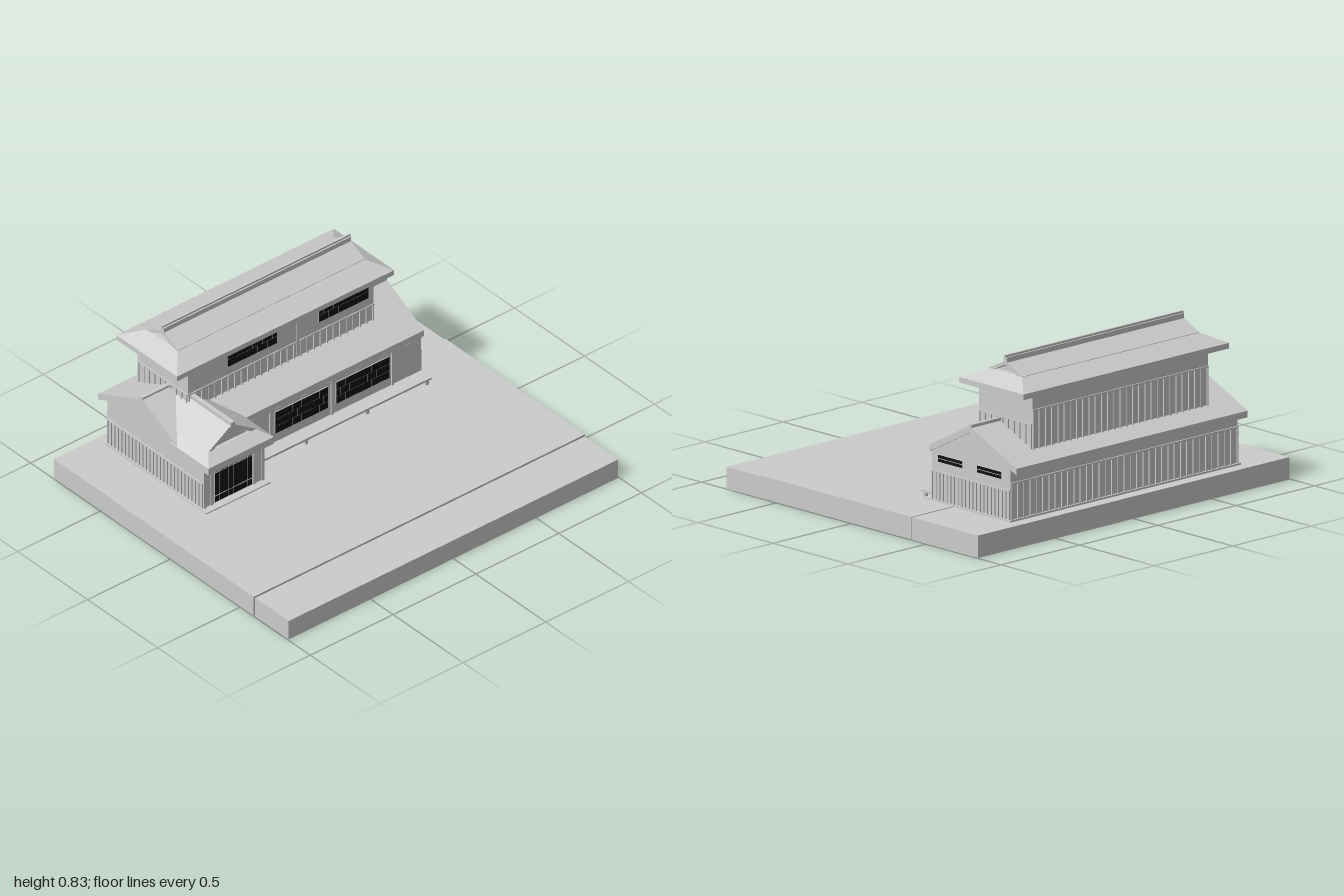
import * as THREE from 'three';
import { ConvexGeometry } from 'three/addons/geometries/ConvexGeometry.js';

export function createModel() {
  const house = new THREE.Group();
  house.name = 'house';
  const grey = new THREE.MeshStandardMaterial({ color: 0xcccccc, flatShading: true });
  const black = new THREE.MeshStandardMaterial({ color: 0x111111 });

  function add(name, geometry, material = grey, parent = house) {
    const mesh = new THREE.Mesh(geometry, material);
    mesh.name = name;
    parent.add(mesh);
    return mesh;
  }

  // Box given by its limits on each axis
  function box(name, x0, x1, y0, y1, z0, z1, material, parent) {
    const mesh = add(name, new THREE.BoxGeometry(x1 - x0, y1 - y0, z1 - z0), material, parent);
    mesh.position.set((x0 + x1) / 2, (y0 + y1) / 2, (z0 + z1) / 2);
    return mesh;
  }

  // Profile of [z, y] points swept along x
  function sweepX(name, profile, x0, x1) {
    const shape = new THREE.Shape(profile.map(([z, y]) => new THREE.Vector2(-z, y)));
    const geometry = new THREE.ExtrudeGeometry(shape, { depth: x1 - x0, bevelEnabled: false });
    geometry.rotateY(Math.PI / 2);
    geometry.translate(x0, 0, 0);
    return add(name, geometry);
  }

  // Profile of [x, y] points swept along z
  function sweepZ(name, profile, z0, z1) {
    const shape = new THREE.Shape(profile.map(([x, y]) => new THREE.Vector2(x, y)));
    const geometry = new THREE.ExtrudeGeometry(shape, { depth: z1 - z0, bevelEnabled: false });
    geometry.translate(0, 0, z0);
    return add(name, geometry);
  }

  // Roof skin of even vertical thickness over three [across, y] points
  const chevron = (a, top, b, t) => [a, top, b, [b[0], b[1] - t], [top[0], top[1] - t], [a[0], a[1] - t]];

  // Hipped skirt: an eave band and slopes up to an inner rectangle
  function skirt(name, [x0, x1, z0, z1], y0, y1, [a0, a1, c0, c1], y2) {
    const points = [];
    const ring = (l, r, b, f, y) => {
      for (const x of [l, r]) for (const z of [b, f]) points.push(new THREE.Vector3(x, y, z));
    };
    ring(x0, x1, z0, z1, y0);
    ring(x0, x1, z0, z1, y1);
    ring(a0, a1, c0, c1, y2);
    return add(name, new ConvexGeometry(points));
  }

  // Window in a local frame facing +z: backing, frame and rows of staggered panes
  function gridWindow(name, w, h, cols, rows, x, y, z, turn = 0, stagger = true) {
    const group = new THREE.Group();
    group.name = name;
    group.position.set(x, y, z);
    group.rotation.y = turn;
    house.add(group);
    box('windowBacking', -w / 2, w / 2, -h / 2, h / 2, -0.002, 0.002, grey, group);
    const cell = w / cols, rowH = h / rows, gap = 0.004;
    for (let r = 0; r < rows; r++) {
      const shift = stagger && r % 2 ? cell / 2 : 0;
      for (let c = 0; c <= cols; c++) {
        const l = Math.max(-w / 2, -w / 2 + (c - 1) * cell + shift + (shift ? 0 : cell));
        const right = Math.min(w / 2, -w / 2 + c * cell + shift + (shift ? 0 : cell));
        if (right - l < gap * 2) continue;
        const y0 = -h / 2 + r * rowH;
        box('pane', l + gap / 2, right - gap / 2, y0 + gap / 2, y0 + rowH - gap / 2, 0, 0.005, black, group);
      }
    }
  }

  // Vertical battens along a wall; axis is the direction the wall runs in
  function battens(name, axis, from, to, at, y0, y1, step, outward, width = 0.007) {
    const group = new THREE.Group();
    group.name = name;
    house.add(group);
    const n = Math.round((to - from) / step);
    const d0 = Math.min(at, at + outward * 0.006), d1 = Math.max(at, at + outward * 0.006);
    for (let i = 0; i <= n; i++) {
      const p = from + ((to - from) * i) / n, a = p - width / 2, b = p + width / 2;
      if (axis === 'x') box('batten', a, b, y0, y1, d0, d1, grey, group);
      else box('batten', d0, d1, y0, y1, a, b, grey, group);
    }
  }

  // Ground slabs and building plinth
  box('rearGround', -0.995, 0.995, 0, 0.107, -0.84, -0.4);
  box('middleGround', -1, 1, 0.003, 0.11, -0.4, 0.595);
  box('frontGround', -0.995, 0.995, 0, 0.104, 0.6, 0.84);
  box('plinth', -0.74, 0.73, 0.1, 0.116, -0.78, -0.2);
  box('porchPlinth', -0.745, -0.355, 0.1, 0.116, -0.25, -0.045);

  // Ground floor with gabled ends
  sweepX('groundFloorWalls', [[-0.245, 0.11], [-0.245, 0.345], [-0.5, 0.49], [-0.77, 0.365], [-0.77, 0.11]], -0.73, 0.72);
  sweepX('groundFloorRoof', chevron([-0.235, 0.372], [-0.505, 0.515], [-0.82, 0.372], 0.032), -0.745, 0.73);
  box('groundFloorRidge', -0.745, 0.73, 0.505, 0.523, -0.52, -0.5);
  for (const x of [0.18, 0.545, -0.19]) box('wallPost', x - 0.007, x + 0.007, 0.116, 0.34, -0.25, -0.238);
  box('frontLintel', -0.365, 0.72, 0.325, 0.335, -0.25, -0.24);
  for (const x of [-0.005, 0.365]) gridWindow('groundFloorWindow', 0.32, 0.12, 6, 3, x, 0.255, -0.243);
  for (const z of [-0.37, -0.63]) gridWindow('sideWindow', 0.16, 0.036, 8, 2, 0.721, 0.318, z, Math.PI / 2, false);

  // Siding of the ground floor
  battens('rearBattens', 'x', -0.725, 0.715, -0.77, 0.116, 0.285, 0.04, -1);
  box('rearRail', -0.73, 0.72, 0.285, 0.293, -0.777, -0.765);
  battens('leftSiding', 'z', -0.765, -0.25, 0.72, 0.116, 0.25, 0.025, 1, 0.005);
  battens('rightSiding', 'z', -0.765, -0.09, -0.73, 0.116, 0.25, 0.025, -1, 0.005);
  box('leftRail', 0.715, 0.727, 0.25, 0.257, -0.77, -0.245);
  box('rightRail', -0.737, -0.725, 0.25, 0.257, -0.77, -0.085);

  // Veranda along the front
  box('verandaFloor', -0.36, 0.72, 0.134, 0.145, -0.245, -0.17);
  for (const x of [-0.34, -0.03, 0.34, 0.7]) box('verandaLeg', x - 0.008, x + 0.008, 0.108, 0.135, -0.19, -0.174);

  // Entrance porch
  box('porchWalls', -0.73, -0.365, 0.11, 0.35, -0.26, -0.085);
  for (const x of [-0.723, -0.68, -0.425, -0.372]) box('porchPost', x - 0.007, x + 0.007, 0.116, 0.345, -0.09, -0.079);
  box('porchSideRail', -0.37, -0.36, 0.25, 0.257, -0.245, -0.085);
  battens('porchSiding', 'z', -0.235, -0.09, -0.365, 0.116, 0.25, 0.025, 1, 0.005);
  gridWindow('entranceLattice', 0.225, 0.215, 8, 1, -0.553, 0.231, -0.083, 0, false);
  for (const y of [0.16, 0.29]) box('latticeRail', -0.665, -0.44, y - 0.002, y + 0.002, -0.085, -0.077);

  // Porch roof: hipped skirt below, small gable above
  skirt('porchEaves', [-0.748, -0.352, -0.3, -0.027], 0.342, 0.38, [-0.695, -0.405, -0.3, -0.09], 0.415);
  sweepZ('porchGable', [[-0.67, 0.4], [-0.43, 0.4], [-0.55, 0.49]], -0.45, -0.105);
  sweepZ('porchRoof', chevron([-0.7, 0.412], [-0.55, 0.51], [-0.4, 0.412], 0.02), -0.5, -0.09);
  box('porchRidge', -0.561, -0.539, 0.498, 0.522, -0.5, -0.085);

  // Upper floor
  box('upperFloorWalls', -0.578, 0.543, 0.38, 0.68, -0.73, -0.375);
  for (const x of [-0.193, 0.358]) gridWindow('upperWindow', 0.3, 0.078, 5, 2, x, 0.622, -0.373);
  box('upperFrontRail', -0.58, 0.545, 0.528, 0.535, -0.378, -0.37);
  box('upperRearRail', -0.58, 0.545, 0.595, 0.602, -0.736, -0.725);
  battens('upperFrontBattens', 'x', -0.573, 0.538, -0.375, 0.42, 0.53, 0.04, 1);
  battens('upperRearBattens', 'x', -0.573, 0.538, -0.73, 0.4, 0.598, 0.04, -1);
  for (const [x, out] of [[-0.578, -1], [0.543, 1]]) {
    battens('upperSideBattens', 'z', -0.725, -0.38, x, 0.4, 0.53, 0.04, out);
    box('upperSideRail', x - 0.005, x + 0.005, 0.528, 0.535, -0.73, -0.375);
  }
  box('upperPost', 0.075, 0.09, 0.45, 0.68, -0.38, -0.37);

  // Upper roof: hipped skirt, recessed gables, roof skin and ridge
  skirt('upperEaves', [-0.675, 0.637, -0.77, -0.338], 0.673, 0.7, [-0.58, 0.545, -0.664, -0.445], 0.747);
  sweepX('upperGable', [[-0.465, 0.74], [-0.554, 0.782], [-0.644, 0.74]], -0.555, 0.52);
  sweepX('upperRoof', chevron([-0.442, 0.748], [-0.554, 0.802], [-0.667, 0.748], 0.018), -0.582, 0.547);
  box('upperRidge', -0.582, 0.547, 0.79, 0.82, -0.567, -0.541);
  box('upperRidgeCap', -0.585, 0.55, 0.815, 0.83, -0.56, -0.548);

  return house;
}
